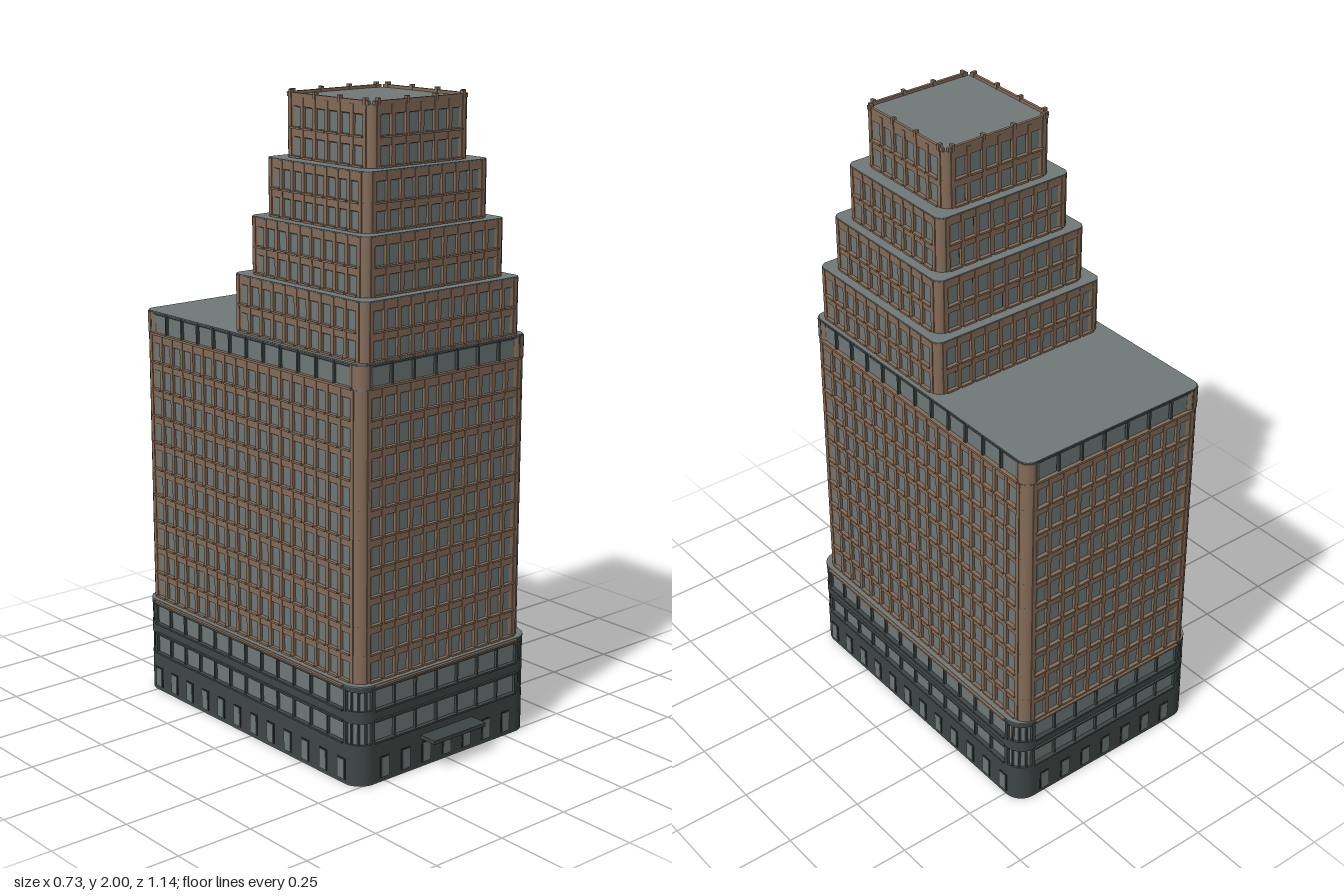
import * as THREE from 'three';
import { mergeGeometries } from 'three/addons/utils/BufferGeometryUtils.js';

const mat = (name, color) => {
  const m = new THREE.MeshStandardMaterial({ color });
  m.name = name;
  return m;
};

// Solid slab with a rounded rectangular plan; b = { hw, z0, z1, r }, inset shrinks the plan
function slab(b, y0, y1, inset = 0) {
  const w = b.hw - inset, f = -(b.z1 - inset), k = -(b.z0 + inset);
  const r = Math.max(b.r - inset, 0.004), s = new THREE.Shape();
  s.moveTo(-w + r, f);
  s.lineTo(w - r, f);
  s.absarc(w - r, f + r, r, -Math.PI / 2, 0, false);
  s.lineTo(w, k - r);
  s.absarc(w - r, k - r, r, 0, Math.PI / 2, false);
  s.lineTo(-w + r, k);
  s.absarc(-w + r, k - r, r, Math.PI / 2, Math.PI, false);
  s.lineTo(-w, f + r);
  s.absarc(-w + r, f + r, r, Math.PI, Math.PI * 1.5, false);
  const g = new THREE.ExtrudeGeometry(s, { depth: y1 - y0, bevelEnabled: false, curveSegments: 6 });
  return g.rotateX(-Math.PI / 2).translate(0, y0, 0);
}

// The four walls of a block: straight length and a box placer (u along wall, d = outer face offset)
function walls(b) {
  const zc = (b.z0 + b.z1) / 2, hz = (b.z1 - b.z0) / 2;
  return [0, 1, 2, 3].map((i) => {
    const alongX = i % 2 === 0, dist = alongX ? hz : b.hw;
    return {
      side: i,
      length: 2 * ((alongX ? b.hw : hz) - b.r),
      box: (u, y, d, w, h, t) => new THREE.BoxGeometry(w, h, t)
        .translate(u, y, dist + d - t / 2).rotateY(i * Math.PI / 2).translate(0, 0, zc).toNonIndexed(),
    };
  });
}

// Full height round corner columns
function corners(b, y0, y1) {
  const out = [];
  for (const x of [-1, 1]) for (const z of [b.z0 + b.r, b.z1 - b.r]) {
    out.push(new THREE.CylinderGeometry(b.r, b.r, y1 - y0, 24)
      .translate(x * (b.hw - b.r), (y0 + y1) / 2, z).toNonIndexed());
  }
  return out;
}

export function createModel() {
  const model = new THREE.Group();
  model.name = 'steppedTower';
  const brick = mat('brick', 0x846c58);
  const glass = mat('window glass', 0x6e7878);
  const roofing = mat('roofing', 0x717a79);
  const stone = mat('dark stone', 0x3e4645);
  const frame = mat('window frame', 0x2b2e2d);
  const concrete = mat('underside concrete', 0x636462);

  const add = (parent, name, material, geos) => {
    const mesh = new THREE.Mesh(mergeGeometries(geos), material);
    mesh.name = name;
    parent.add(mesh);
  };
  const group = (name) => {
    const g = new THREE.Group();
    g.name = name;
    model.add(g);
    return g;
  };

  // Brick block: recessed dark core, panes, piers, spandrel slabs and sills
  function brickBlock(name, b, o) {
    const g = group(name), { y0, y1, floors, bay } = o;
    const fh = (y1 - y0) / floors, sp = fh * (o.spandrel ?? 0.3), rec = 0.008;
    const masonry = corners(b, y0, y1), panes = [], sills = [];
    for (let f = 0; f < floors; f++) {
      const top = y0 + (f + 1) * fh;
      masonry.push(slab(b, top - sp, top));
    }
    for (const w of walls(b)) {
      const n = Math.max(2, Math.round(w.length / bay)), step = w.length / n;
      const pw = step * (o.pier ?? 0.25);
      for (let i = 0; i <= n; i++) {
        const u = -w.length / 2 + i * step;
        masonry.push(w.box(u, (y0 + y1) / 2, 0.002, pw, y1 - y0, rec + 0.004));
        if (i === n) continue;
        for (let f = 0; f < floors; f++) {
          const bottom = y0 + f * fh, h = fh - sp;
          panes.push(w.box(u + step / 2, bottom + h / 2, -rec + 0.003, step - pw - 0.005, h - 0.005, 0.004));
          if (o.sills !== false) sills.push(w.box(u + step / 2, bottom + (f ? -0.001 : 0.003), 0.007, step * 0.82, 0.006, 0.014));
        }
      }
    }
    add(g, 'recessedCore', frame, [slab(b, y0, y1 - 0.002, rec)]);
    add(g, 'pierAndSpandrel', o.material ?? brick, masonry);
    add(g, 'windowPanes', glass, panes);
    if (sills.length) add(g, 'windowSills', brick, sills);
    add(g, 'roof', roofing, [slab(b, y1, y1 + 0.003, 0.001)]);
    return g;
  }

  // Dark stone podium with two ribbon window bands wrapping the corners
  const base = { hw: 0.357, z0: -0.562, z1: 0.51, r: 0.06 };
  const podium = group('podium');
  add(podium, 'underside', concrete, [slab(base, 0, 0.003)]);
  add(podium, 'stoneBands', stone, [
    slab(base, 0.003, 0.13), slab(base, 0.198, 0.236), slab(base, 0.296, 0.312),
  ]);
  add(podium, 'podiumRoof', roofing, [slab(base, 0.312, 0.315)]);
  add(podium, 'ribbonGlass', glass, [slab(base, 0.128, 0.297, 0.008)]);
  const mullions = [], panes = [], paneFrames = [], ledges = [], topLedges = [];
  for (const w of walls(base)) {
    const n = Math.round(w.length / 0.08), step = w.length / n;
    for (let i = 0; i <= n; i++) {
      const u = -w.length / 2 + i * step;
      for (const y of [0.164, 0.266]) mullions.push(w.box(u, y, 0.001, i % n ? 0.006 : 0.012, 0.07, 0.012));
    }
    // Ground floor openings
    const count = w.side % 2 ? 12 : 7;
    for (let i = 0; i < count; i++) {
      const u = (i - (count - 1) / 2) * 0.084;
      paneFrames.push(w.box(u, 0.047, 0.002, 0.036, 0.068, 0.004));
      panes.push(w.box(u, 0.047, 0.004, 0.028, 0.061, 0.004));
    }
    for (const y of [0.132, 0.2, 0.234]) ledges.push(w.box(0, y, 0.007, w.length - 0.01, 0.006, 0.014));
    topLedges.push(w.box(0, 0.31, 0.009, w.length - 0.01, 0.006, 0.012));
  }
  // Short mullions around the curved corners
  for (const sx of [-1, 1]) for (const sz of [-1, 1]) for (const a of [0.25, 0.5, 0.75]) {
    const t = a * Math.PI / 2, cz = sz > 0 ? base.z1 - base.r : base.z0 + base.r;
    for (const y of [0.164, 0.266]) {
      mullions.push(new THREE.BoxGeometry(0.006, 0.07, 0.006).toNonIndexed()
        .translate(sx * (base.hw - base.r + 0.055 * Math.cos(t)), y, cz + sz * 0.055 * Math.sin(t)));
    }
  }
  add(podium, 'mullions', stone, mullions);
  add(podium, 'ledges', stone, ledges);
  add(podium, 'topLedges', brick, topLedges);
  add(podium, 'openingFrames', frame, paneFrames);
  add(podium, 'groundWindows', glass, panes);
  add(podium, 'entranceCanopy', stone, [new THREE.BoxGeometry(0.213, 0.012, 0.07).translate(0, 0.098, 0.536)]);

  // Main shaft and its glazed attic storey
  const shaft = { hw: 0.335, z0: -0.558, z1: 0.49, r: 0.035 };
  brickBlock('shaft', shaft, { y0: 0.315, y1: 1.2, floors: 10, bay: 0.053 });
  const attic = brickBlock('attic', { ...shaft, hw: 0.334 },
    { y0: 1.203, y1: 1.272, floors: 1, bay: 0.085, spandrel: 0.1, pier: 0.08, sills: false, material: stone });
  add(attic, 'atticCorners', brick, corners({ ...shaft, hw: 0.336, z1: 0.492, z0: -0.56 }, 1.203, 1.271));
  add(attic, 'atticLedges', brick, walls(shaft).map((w) => w.box(0, 1.203, 0.007, w.length, 0.007, 0.014)));

  // Stepped tiers
  const tiers = [
    [0.313, -0.122, 0.481, 1.275, 1.45],
    [0.278, -0.085, 0.445, 1.45, 1.625],
    [0.242, -0.05, 0.409, 1.625, 1.8],
    [0.194, -0.016, 0.372, 1.8, 1.982],
  ];
  tiers.forEach(([hw, z0, z1, y0, y1], i) => {
    brickBlock('tier' + (i + 1), { hw, z0, z1, r: 0.028 },
      { y0: y0 + (i ? 0.002 : 0), y1: y1 - 0.002, floors: 2, bay: 0.053 });
  });

  // Parapet and small posts on the highest roof
  const top = { hw: 0.194, z0: -0.016, z1: 0.372, r: 0.028 };
  const rail = [], posts = [];
  for (const w of walls(top)) {
    rail.push(w.box(0, 1.986, 0, w.length + 0.03, 0.012, 0.009));
    for (const u of [-0.165, -0.055, 0.055, 0.165]) posts.push(w.box(u, 1.989, 0.003, 0.01, 0.022, 0.014));
  }
  const crown = group('crown');
  add(crown, 'parapet', brick, rail);
  add(crown, 'parapetPosts', brick, posts);
  return model;
}
